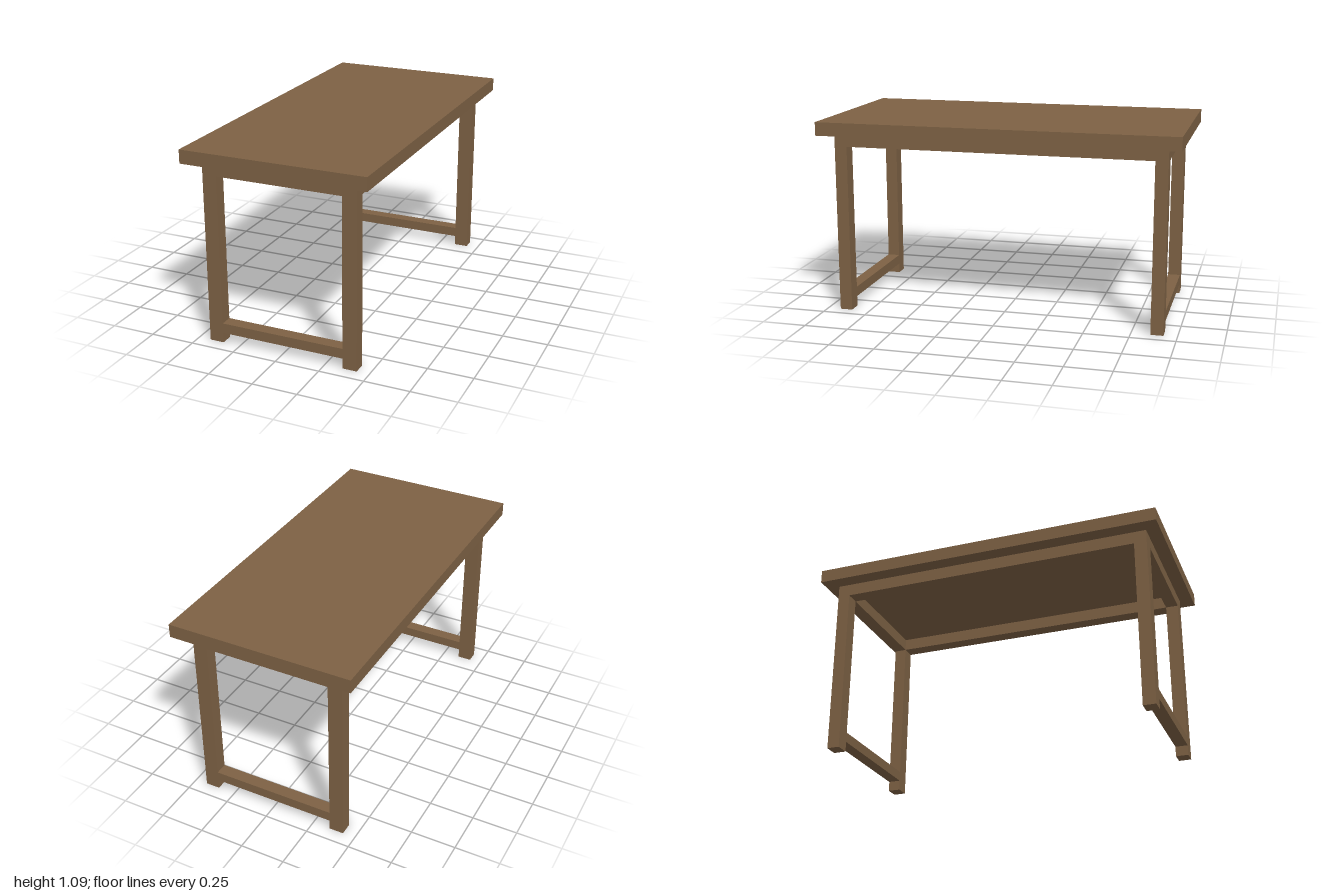
import * as THREE from 'three';

export function createModel() {
  const model = new THREE.Group();
  model.name = 'table';
  const wood = new THREE.MeshStandardMaterial({ color: 0x7d6144 });

  // Outer frame half-sizes and timber sections
  const X = 0.43, Z = 0.925, legW = 0.08, legD = 0.07;
  const frameTop = 1.015, apronBottom = 0.945;

  function beam(name, w, d, y0, y1, x, z) {
    const mesh = new THREE.Mesh(new THREE.BoxGeometry(w, y1 - y0, d), wood);
    mesh.position.set(x, (y0 + y1) / 2, z);
    mesh.name = name;
    model.add(mesh);
  }

  // Table top
  beam('tableTop', 1.03, 2, frameTop, 1.09, 0, 0);

  const innerW = 2 * (X - legW), innerD = 2 * (Z - legD);
  const legX = X - legW / 2, legZ = Z - legD / 2;

  for (const [end, sz] of [['front', 1], ['back', -1]]) {
    // Legs
    for (const [side, sx] of [['Left', 1], ['Right', -1]]) {
      beam(`${end}${side}Leg`, legW, legD, 0, frameTop, sx * legX, sz * legZ);
    }
    // Apron and low stretcher between the two legs of each end
    beam(`${end}Apron`, innerW, legD, apronBottom, frameTop, 0, sz * legZ);
    beam(`${end}Stretcher`, innerW, legD, 0.057, 0.113, 0, sz * legZ);
  }

  // Long side aprons
  for (const [side, sx] of [['left', 1], ['right', -1]]) {
    beam(`${side}Apron`, legW, innerD, apronBottom, frameTop, sx * legX, 0);
  }

  return model;
}
